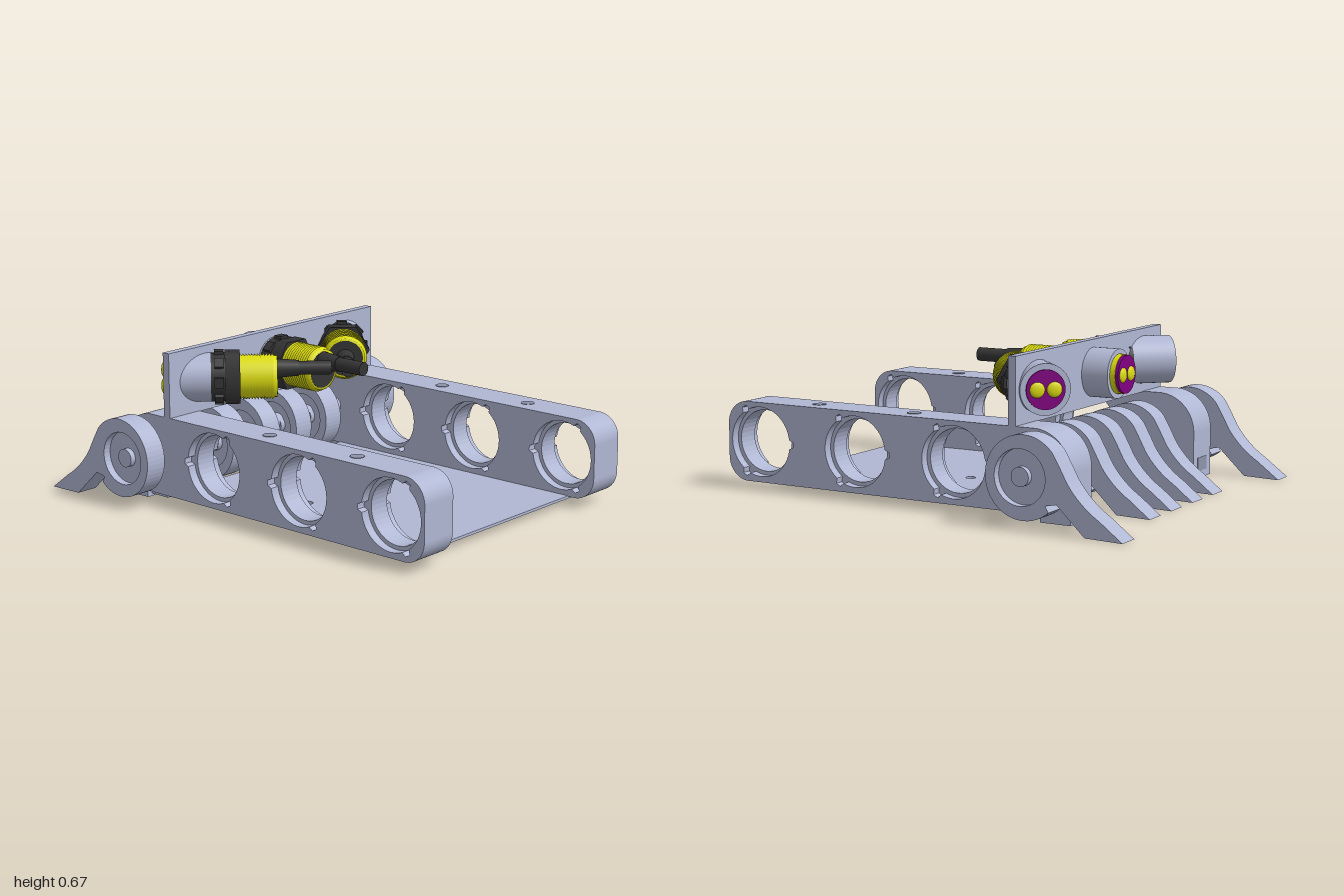
import * as THREE from 'three';

const mat = (name, color, side = THREE.FrontSide) => {
  const m = new THREE.MeshStandardMaterial({ color, side });
  m.name = name;
  return m;
};
const metal = mat('lavender grey', 0xb0b7d3);
const shade = mat('hole grey', 0x8d93ab);
const yellow = mat('yellow', 0xdcdc12, THREE.DoubleSide);
const black = mat('charcoal', 0x353535);
const purple = mat('purple', 0x800080);

function add(parent, name, geo, material, x = 0, y = 0, z = 0) {
  const m = new THREE.Mesh(geo, material);
  m.name = name;
  m.position.set(x, y, z);
  parent.add(m);
  return m;
}
const box = (x, y, z) => new THREE.BoxGeometry(x, y, z);
const extrude = (shape, depth) =>
  new THREE.ExtrudeGeometry(shape, { depth, bevelEnabled: false, curveSegments: 20 });
// cylinder along z, and cylinder along x starting at 0
const cylZ = (r, len, n = 32) => new THREE.CylinderGeometry(r, r, len, n).rotateX(Math.PI / 2);
const cylX = (r0, r1, len, n = 32) =>
  new THREE.CylinderGeometry(r1, r0, len, n).rotateZ(-Math.PI / 2).translate(len / 2, 0, 0);

function circleHole(x, y, r) {
  return new THREE.Path().absarc(x, y, r, 0, Math.PI * 2, true);
}

// round hole with three locking notches
function notchedHole(x, y, r, rNotch) {
  const pts = [];
  const notches = [Math.PI / 3, Math.PI, (Math.PI * 5) / 3];
  for (let i = 0; i < 96; i++) {
    const a = (i / 96) * Math.PI * 2;
    const rr = notches.some((n) => Math.abs(a - n) < 0.11) ? rNotch : r;
    pts.push(new THREE.Vector2(x + rr * Math.cos(a), y + rr * Math.sin(a)));
  }
  return new THREE.Path(pts.reverse());
}

const holeXs = [-0.145, 0.34, 0.83];
const axleY = 0.215;

function railShape() {
  const s = new THREE.Shape();
  s.moveTo(-0.69, 0.008);
  s.lineTo(-0.55, 0.008);
  s.lineTo(-0.55, 0.038);
  s.lineTo(0.9, 0.038);
  s.absarc(0.9, 0.138, 0.1, -Math.PI / 2, 0, false);
  s.absarc(0.9, 0.287, 0.1, 0, Math.PI / 2, false);
  s.lineTo(-0.52, 0.387);
  s.absarc(-0.52, axleY + 0.002, 0.17, Math.PI / 2, Math.PI, false);
  return s;
}

// side rail in three layers: recessed faces around a narrower core bore
function rail(parent, z0) {
  const g = new THREE.Group();
  g.name = 'sideRail';
  const layers = [[0, 0.04, true], [0.04, 0.095, false], [0.135, 0.04, true]];
  for (const [z, depth, face] of layers) {
    const s = railShape();
    for (const x of holeXs)
      s.holes.push(face ? notchedHole(x, axleY, 0.152, 0.172) : circleHole(x, axleY, 0.135));
    add(g, face ? 'railFace' : 'railCore', extrude(s, depth), metal, 0, 0, z0 + z);
  }
  // bolt holes on top
  for (const x of [0.1, 0.58])
    add(g, 'boltHole', new THREE.CylinderGeometry(0.03, 0.03, 0.004, 24), shade, x, 0.387, z0 + 0.088);
  parent.add(g);
}

function clawShape() {
  const s = new THREE.Shape();
  s.moveTo(-1, 0);
  s.lineTo(-0.835, 0.004);
  s.lineTo(-0.71, 0.122);
  s.lineTo(-0.66, 0.112);
  s.absarc(-0.56, axleY, 0.172, -2.3, 2.45, false);
  s.quadraticCurveTo(-0.72, 0.28, -0.755, 0.215);
  s.quadraticCurveTo(-0.81, 0.13, -0.9, 0.075);
  s.closePath();
  s.holes.push(circleHole(-0.545, axleY, 0.115));
  return s;
}

// claw with a recessed hub on both sides
function claw(parent, name, z, inner) {
  const g = new THREE.Group();
  g.name = name;
  add(g, 'clawBody', extrude(clawShape(), 0.1), metal, 0, 0, -0.05);
  add(g, 'clawWeb', cylZ(0.117, 0.03), metal, -0.545, axleY, 0);
  add(g, 'clawHub', cylZ(0.04, 0.08, 24), metal, -0.54, axleY, 0);
  if (inner) {
    g.scale.set(0.92, 0.945, 1);
    g.position.x = 0.03;
  }
  g.position.z = z;
  parent.add(g);
}

// sensor along +x, lens at the origin
function sensor(parent, x, z, yaw, tubeStart, cableLift, roll) {
  const g = new THREE.Group();
  g.name = 'sensor';
  g.position.set(x, 0.53, z);
  g.rotation.y = yaw;

  // lens
  add(g, 'lensDisc', cylX(0.082, 0.082, 0.014), purple, -0.003);
  add(g, 'lensCollar', cylX(0.085, 0.085, 0.05), yellow, 0.011);
  const eyes = new THREE.Group();
  eyes.name = 'lensEyes';
  eyes.rotation.x = roll;
  for (const s of [-1, 1]) {
    const eye = add(eyes, 'lensEye', new THREE.SphereGeometry(0.032, 20, 12), yellow, -0.003, 0, s * 0.036);
    eye.scale.x = 0.35;
  }
  g.add(eyes);

  // mounting tube
  add(g, 'mountTube', cylX(0.106, 0.106, 0.2 - tubeStart, 40), metal, tubeStart);

  // lock washer with teeth and hex nut
  add(g, 'washer', cylX(0.106, 0.106, 0.06, 24), black, 0.2);
  for (let i = 0; i < 8; i++) {
    const a = (i / 8) * Math.PI * 2;
    const t = add(g, 'washerTooth', box(0.04, 0.02, 0.045), black,
      0.235, 0.108 * Math.cos(a), 0.108 * Math.sin(a));
    t.rotation.x = a;
  }
  add(g, 'hexNut', cylX(0.122, 0.122, 0.065, 6).toNonIndexed(), black, 0.26);

  // threaded barrel
  const pts = [];
  for (let i = 0; i <= 24; i++) pts.push(new THREE.Vector2(i % 2 ? 0.1 : 0.09, 0.32 + i * 0.0063));
  pts.push(new THREE.Vector2(0.09, 0.485), new THREE.Vector2(0.078, 0.485));
  add(g, 'threadedBarrel', new THREE.LatheGeometry(pts, 32).rotateZ(-Math.PI / 2), yellow);
  add(g, 'barrelCap', cylX(0.08, 0.08, 0.012), black, 0.474);

  // cable boot and cable
  add(g, 'cableBoot', cylX(0.042, 0.034, 0.1, 20), black, 0.48, cableLift);
  add(g, 'cable', cylX(0.03, 0.03, 0.16, 20), black, 0.56, cableLift);
  parent.add(g);
}

export function createModel() {
  const model = new THREE.Group();
  model.name = 'clawedSensorChassis';

  rail(model, 0.48);
  rail(model, -0.655);

  // floor plate with bolt holes
  const floor = new THREE.Shape();
  floor.moveTo(-0.44, -0.61);
  floor.lineTo(0.87, -0.61);
  floor.lineTo(0.87, 0.61);
  floor.lineTo(-0.44, 0.61);
  floor.closePath();
  for (const z of [-0.335, -0.11, 0.115, 0.34]) floor.holes.push(circleHole(0.1, z, 0.022));
  add(model, 'floorPlate', extrude(floor, 0.012).rotateX(-Math.PI / 2), metal, 0, 0.029, 0);
  for (const x of [0.1, 0.58])
    for (const s of [-1, 1])
      add(model, 'floorBoltHole', new THREE.CylinderGeometry(0.02, 0.02, 0.004, 20), shade, x, 0.028, s * 0.567);

  // feet under the rails
  for (const s of [-1, 1]) {
    add(model, 'railFoot', box(0.1, 0.02, 0.13), metal, -0.5, 0.03, s * 0.567);
    add(model, 'railSlot', box(0.004, 0.06, 0.09), shade, -0.69, 0.07, s * 0.567);
    add(model, 'axleStub', cylZ(0.04, 0.1, 24), metal, -0.54, axleY, s * 0.69);
  }

  // axle and claws
  add(model, 'axle', cylZ(0.038, 0.98, 24), metal, -0.475, axleY, 0);
  for (const z of [-0.76, 0.755]) claw(model, 'outerClaw', z, false);
  for (const z of [-0.305, -0.105, 0.1, 0.3]) claw(model, 'innerClaw', z, true);

  // sensor panel and sensors
  add(model, 'sensorPanel', box(0.036, 0.285, 1.31), metal, -0.42, 0.527, 0);
  sensor(model, -0.595, 0.005, 0, 0.035, 0.04, 0);
  sensor(model, -0.525, 0.565, Math.PI / 4, 0.004, 0.035, 1.1);
  sensor(model, -0.525, -0.565, -Math.PI / 4, 0.004, 0.0, 0);
  return model;
}
